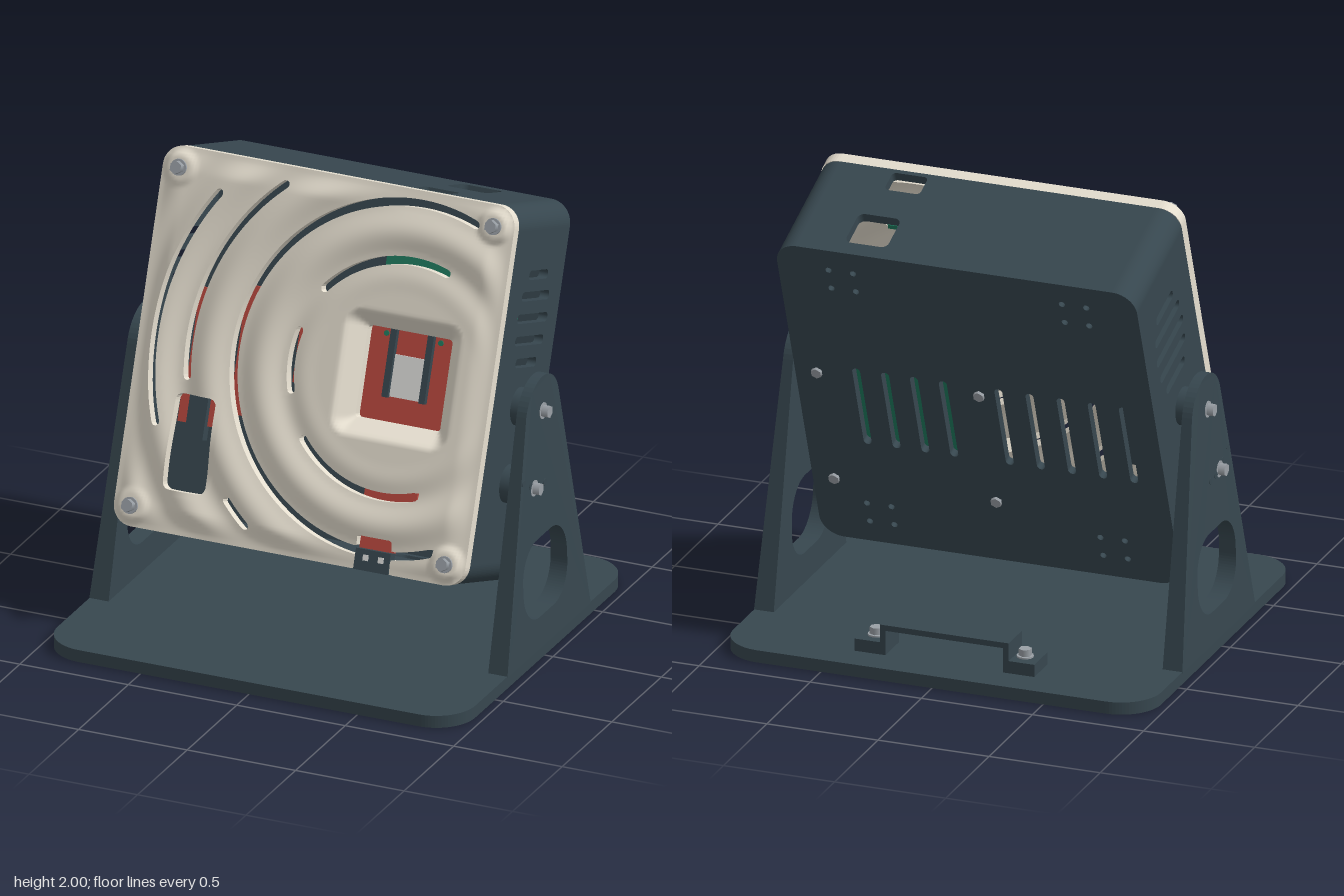
import * as THREE from 'three';

const mat = (name, color, side = THREE.FrontSide) => {
  const m = new THREE.MeshStandardMaterial({ color, side });
  m.name = name;
  return m;
};
const dark = mat('slate', 0x37474f);
const cream = mat('cream', 0xe6dfd0, THREE.DoubleSide);
const red = mat('red', 0xb8483e);
const green = mat('green', 0x1f7a5e);
const steel = mat('steel', 0x9aa0a6);
const pale = mat('pale grey', 0xdcdcda);

const rad = Math.PI / 180;
const clamp = (v) => Math.min(1, Math.max(0, v));
const smooth = (v) => { v = clamp(v); return v * v * (3 - 2 * v); };

function add(parent, name, geo, material, x = 0, y = 0, z = 0) {
  const m = new THREE.Mesh(geo, material);
  m.name = name;
  m.position.set(x, y, z);
  parent.add(m);
  return m;
}
const box = (p, name, material, w, h, d, x, y, z) =>
  add(p, name, new THREE.BoxGeometry(w, h, d), material, x, y, z);

// Rounded rectangle between two corners
function rr(x0, x1, y0, y1, r) {
  const s = new THREE.Shape();
  s.absarc(x1 - r, y1 - r, r, 0, 90 * rad);
  s.absarc(x0 + r, y1 - r, r, 90 * rad, 180 * rad);
  s.absarc(x0 + r, y0 + r, r, 180 * rad, 270 * rad);
  s.absarc(x1 - r, y0 + r, r, 270 * rad, 360 * rad);
  s.closePath();
  return s;
}
function plate(shape, depth, holes = []) {
  shape.holes.push(...holes);
  return new THREE.ExtrudeGeometry(shape, { depth, bevelEnabled: false, curveSegments: 10 });
}
// Hex screw with a washer, pointing along +z
function screw(p, name, x, y, z) {
  const g = new THREE.Group();
  g.name = name;
  const washer = new THREE.CylinderGeometry(0.036, 0.036, 0.012, 20).rotateX(90 * rad);
  const head = new THREE.CylinderGeometry(0.028, 0.028, 0.034, 6).rotateX(90 * rad);
  add(g, 'washer', washer, steel, 0, 0, 0.006);
  add(g, 'screwHead', head, steel, 0, 0, 0.025);
  g.position.set(x, y, z);
  p.add(g);
  return g;
}

// ---- Front cover: rippled sheet with concentric slots ----
const CX = 0.385, CY = 0.01;
const arcs = [ // radius, start and end angle, half width
  [0.745, 70, 290, 0.018], [0.5, 72, 140, 0.018], [0.5, 220, 288, 0.018], [0.485, 165, 195, 0.018],
  [0.955, 131, 189, 0.018], [0.935, 223, 231, 0.018], [1.11, 145, 199, 0.018],
];
function rectDist(x, y, cx, cy, hx, hy, r) {
  const dx = Math.abs(x - cx) - hx + r, dy = Math.abs(y - cy) - hy + r;
  return Math.hypot(Math.max(dx, 0), Math.max(dy, 0)) + Math.min(Math.max(dx, dy), 0) - r;
}
const outline = (x, y) => rectDist(x, y, 0, 0, 0.81, 0.81, 0.09);
function coverDist(x, y) {
  let hole = Math.min(
    rectDist(x, y, CX, CY, 0.195, 0.197, 0.015), // window
    rectDist(x, y, -0.5, -0.42, 0.095, 0.205, 0.03), // pocket
    rectDist(x, y, 0.39, -0.75, 0.08, 0.085, 0.01), // lower notch
  );
  const a = (Math.atan2(y - CY, x - CX) + 2 * Math.PI) % (2 * Math.PI);
  for (const [r, a0, a1, w] of arcs) {
    const t = Math.min(a1 * rad, Math.max(a0 * rad, a));
    hole = Math.min(hole, Math.hypot(x - CX - r * Math.cos(t), y - CY - r * Math.sin(t)) - w);
  }
  return Math.max(outline(x, y), -hole);
}
function relief(x, y) {
  const r = Math.hypot(x - CX, y - CY);
  let z = 0.02 + 0.012 * Math.cos((r - 0.62) / 0.24 * 2 * Math.PI) * smooth((r - 0.35) / 0.2);
  z *= smooth(-outline(x, y) / 0.11);
  const boss = smooth(1 - (Math.hypot(Math.abs(x) - 0.725, Math.abs(y) - 0.72) - 0.05) / 0.035);
  z += (0.025 - z) * boss * smooth(-outline(x, y) / 0.03);
  return z - 0.085 * clamp(1 - rectDist(x, y, CX, CY, 0.195, 0.197, 0) / 0.068);
}
function cover(p) {
  const N = 132, h = 1.64 / N, pos = [], idx = [], e = 1e-4;
  for (let j = 0; j <= N; j++) for (let i = 0; i <= N; i++) {
    let x = -0.82 + i * h, y = -0.82 + j * h;
    // pull nearby vertices onto the cut edges
    for (let k = 0; k < 2; k++) {
      const d = coverDist(x, y);
      if (Math.abs(d) > 0.7 * h) break;
      const gx = (coverDist(x + e, y) - d) / e, gy = (coverDist(x, y + e) - d) / e;
      const l = gx * gx + gy * gy || 1;
      x -= d * gx / l;
      y -= d * gy / l;
    }
    pos.push(x, y, relief(x, y));
  }
  const edges = new Set(), wall = [];
  const tri = (...t) => {
    const mean = (o) => (pos[t[0] * 3 + o] + pos[t[1] * 3 + o] + pos[t[2] * 3 + o]) / 3;
    if (coverDist(mean(0), mean(1)) > -1e-4) return;
    idx.push(...t);
    t.forEach((v, k) => edges.add(v + ',' + t[(k + 1) % 3]));
  };
  for (let j = 0; j < N; j++) for (let i = 0; i < N; i++) {
    const a = j * (N + 1) + i, b = a + 1, c = b + N + 1, d = a + N + 1;
    tri(a, b, c);
    tri(a, c, d);
  }
  // wall behind every open edge
  for (const key of edges) {
    const [a, b] = key.split(',').map(Number);
    if (edges.has(b + ',' + a)) continue;
    const pt = (v, dz) => [pos[v * 3], pos[v * 3 + 1], pos[v * 3 + 2] - dz];
    const D = 0.05;
    wall.push(...pt(a, 0), ...pt(a, D), ...pt(b, D), ...pt(a, 0), ...pt(b, D), ...pt(b, 0));
  }
  const make = (array, index) => {
    const g = new THREE.BufferGeometry();
    g.setAttribute('position', new THREE.Float32BufferAttribute(array, 3));
    if (index) g.setIndex(index);
    g.computeVertexNormals();
    return g;
  };
  add(p, 'frontCover', make(pos, idx), cream);
  add(p, 'coverEdges', make(wall), cream);
}

function housing() {
  const g = new THREE.Group();
  g.name = 'housing';
  cover(g);
  for (const x of [-0.725, 0.725]) for (const y of [-0.72, 0.72]) screw(g, 'coverScrew', x, y, 0.022);

  // side walls with vents
  const vents = [[0.515, 0.1], [0.425, 0.145], [0.33, 0.16], [0.235, 0.15], [0.14, 0.11]];
  for (const x of [0.77, -0.81]) {
    const holes = vents.map(([u, w]) => rr(0.335 - w, 0.335 + w, u - 0.02, u + 0.02, 0.0199));
    add(g, 'sideWall', plate(rr(0.05, 0.56, -0.71, 0.71, 0.001), 0.04, holes), dark, x).rotation.y = 90 * rad;
  }
  // top and bottom walls with port openings
  const top = [rr(0.33, 0.52, 0.345, 0.53, 0.03), rr(0.31, 0.47, 0.07, 0.18, 0.02)];
  const bottom = [rr(0.31, 0.53, 0.39, 0.5, 0.03), rr(0.06, 0.38, 0.17, 0.23, 0.02), rr(-0.57, -0.44, 0.09, 0.15, 0.02)];
  for (const [name, y, holes] of [['topWall', 0.77, top], ['bottomWall', -0.81, bottom]])
    add(g, name, plate(rr(-0.71, 0.71, 0.05, 0.56, 0.001), 0.04, holes), dark, 0, y).rotation.x = -90 * rad;
  // rounded corners
  for (let k = 0; k < 4; k++) {
    const s = new THREE.Shape();
    s.absarc(0.71, 0.71, 0.1, 0, 90 * rad);
    s.absarc(0.71, 0.71, 0.06, 90 * rad, 0, true);
    add(g, 'corner', plate(s, 0.51), dark, 0, 0, -0.56).rotation.z = k * 90 * rad;
  }
  // back plate with slots and fixing holes
  const holes = [0.53, 0.4, 0.27, 0.14, -0.11, -0.25, -0.39, -0.53, -0.67].map((x) =>
    rr(x - 0.018, x + 0.018, -0.26, 0.16, 0.0179));
  for (const x of [-0.58, -0.47, 0.47, 0.58]) for (const y of [-0.7, -0.6, 0.6, 0.7])
    holes.push(rr(x - 0.014, x + 0.014, y - 0.014, y + 0.014, 0.0139));
  add(g, 'backPlate', plate(rr(-0.81, 0.81, -0.81, 0.81, 0.1), 0.04, holes), dark, 0, 0, -0.6);
  for (const x of [-0.02, 0.71]) for (const y of [-0.48, 0.11])
    add(g, 'backScrew', new THREE.CylinderGeometry(0.025, 0.025, 0.02, 6).rotateX(90 * rad), steel, x, y, -0.605);

  // inner boards
  box(g, 'mainBoard', green, 0.62, 0.95, 0.02, 0.38, 0, -0.46);
  box(g, 'portBoard', green, 0.18, 0.02, 0.12, 0.39, 0.6, -0.12);
  for (const [x, y, w, h] of [[-0.56, 0.03, 0.08, 0.4], [-0.34, 0, 0.1, 0.55], [-0.09, 0.03, 0.07, 0.25], [0.39, -0.49, 0.24, 0.06]])
    box(g, 'redBracket', red, w, h, 0.02, x, y, -0.1);

  // sensor behind the window
  box(g, 'sensorBoard', red, 0.42, 0.42, 0.03, CX, CY, -0.125);
  box(g, 'sensorChip', pale, 0.14, 0.18, 0.01, CX, 0.01, -0.106);
  for (const s of [-1, 1]) {
    box(g, 'sensorRail', dark, 0.028, 0.29, 0.03, CX + s * 0.085, 0.06, -0.1);
    add(g, 'sensorPin', new THREE.CylinderGeometry(0.012, 0.012, 0.008, 12).rotateX(90 * rad), green, CX + s * 0.125, 0.18, -0.108);
  }
  // switch in the pocket
  box(g, 'pocketBack', dark, 0.24, 0.46, 0.02, -0.5, -0.42, -0.07);
  box(g, 'pocketPanel', red, 0.19, 0.14, 0.02, -0.5, -0.27, -0.05);
  box(g, 'pocketSwitch', dark, 0.085, 0.2, 0.05, -0.5, -0.3, -0.035);
  // clip in the lower notch
  box(g, 'clip', dark, 0.16, 0.09, 0.05, 0.39, -0.765, -0.015);
  for (const x of [0.36, 0.43]) box(g, 'clipDot', pale, 0.025, 0.025, 0.006, x, -0.755, 0.011);
  box(g, 'clipTab', red, 0.16, 0.06, 0.02, 0.39, -0.69, -0.035);

  g.position.set(0, 1.24, 0.22);
  g.rotation.x = -20 * rad;
  return g;
}

// Side support with pivot bosses, leaning outwards at the foot
function support(side) {
  const g = new THREE.Group();
  g.name = side > 0 ? 'leftSupport' : 'rightSupport';
  const s = new THREE.Shape();
  s.moveTo(-0.38, 0.05);
  s.lineTo(0.46, 0.05);
  s.absarc(0.07, 1.075, 0.17, 12 * rad, 165 * rad);
  s.closePath();
  const geo = plate(s, 0.045, [rr(-0.19, 0.25, 0.19, 0.54, 0.15)]);
  const p = geo.attributes.position;
  for (let i = 0; i < p.count; i++)
    if (p.getZ(i) > 0.01) p.setZ(i, 0.045 + Math.max(0, 1.1 - p.getY(i)) * 0.042);
  geo.computeVertexNormals();
  add(g, 'arm', geo, dark, 0.875).rotation.y = 90 * rad;
  for (const [y, z] of [[1.09, -0.065], [0.78, 0.045]]) {
    add(g, 'pivotBoss', new THREE.CylinderGeometry(0.082, 0.082, 0.075, 28).rotateZ(90 * rad), dark, 0.84, y, z);
    screw(g, 'pivotScrew', 0.915 + (1.1 - y) * 0.03, y, z).rotation.y = 90 * rad;
  }
  // row of angle stops
  for (const [y, z] of [[0.84, 0.145], [0.805, 0.08], [0.768, 0], [0.765, -0.06]])
    add(g, 'angleStop', new THREE.CylinderGeometry(0.016, 0.016, 0.006, 12).rotateZ(90 * rad), dark, 0.921 + (1.1 - y) * 0.042, y, z);
  g.scale.x = side;
  return g;
}

function handle() {
  const g = new THREE.Group();
  g.name = 'handle';
  const s = new THREE.Shape();
  [[-0.405, 0.05], [-0.405, 0.11], [-0.29, 0.11], [-0.29, 0.19], [0.29, 0.19], [0.29, 0.11], [0.405, 0.11],
    [0.405, 0.05], [0.265, 0.05], [0.265, 0.165], [-0.265, 0.165], [-0.265, 0.05]]
    .forEach(([x, y], i) => (i ? s.lineTo(x, y) : s.moveTo(x, y)));
  s.closePath();
  add(g, 'grip', plate(s, 0.155), dark, 0, 0, -0.735);
  for (const x of [-0.335, 0.335]) {
    screw(g, 'handleScrew', x, 0.105, -0.66).rotation.x = -90 * rad;
    add(g, 'screwEnd', new THREE.CylinderGeometry(0.014, 0.014, 0.006, 12), steel, x, 0.002, -0.66);
  }
  return g;
}

export function createModel() {
  const model = new THREE.Group();
  model.name = 'tiltingDevice';
  add(model, 'base', plate(rr(-0.963, 0.963, -0.88, 0.88, 0.18), 0.055), dark).rotation.x = -90 * rad;
  model.add(support(1), support(-1), handle(), housing());
  return model;
}
